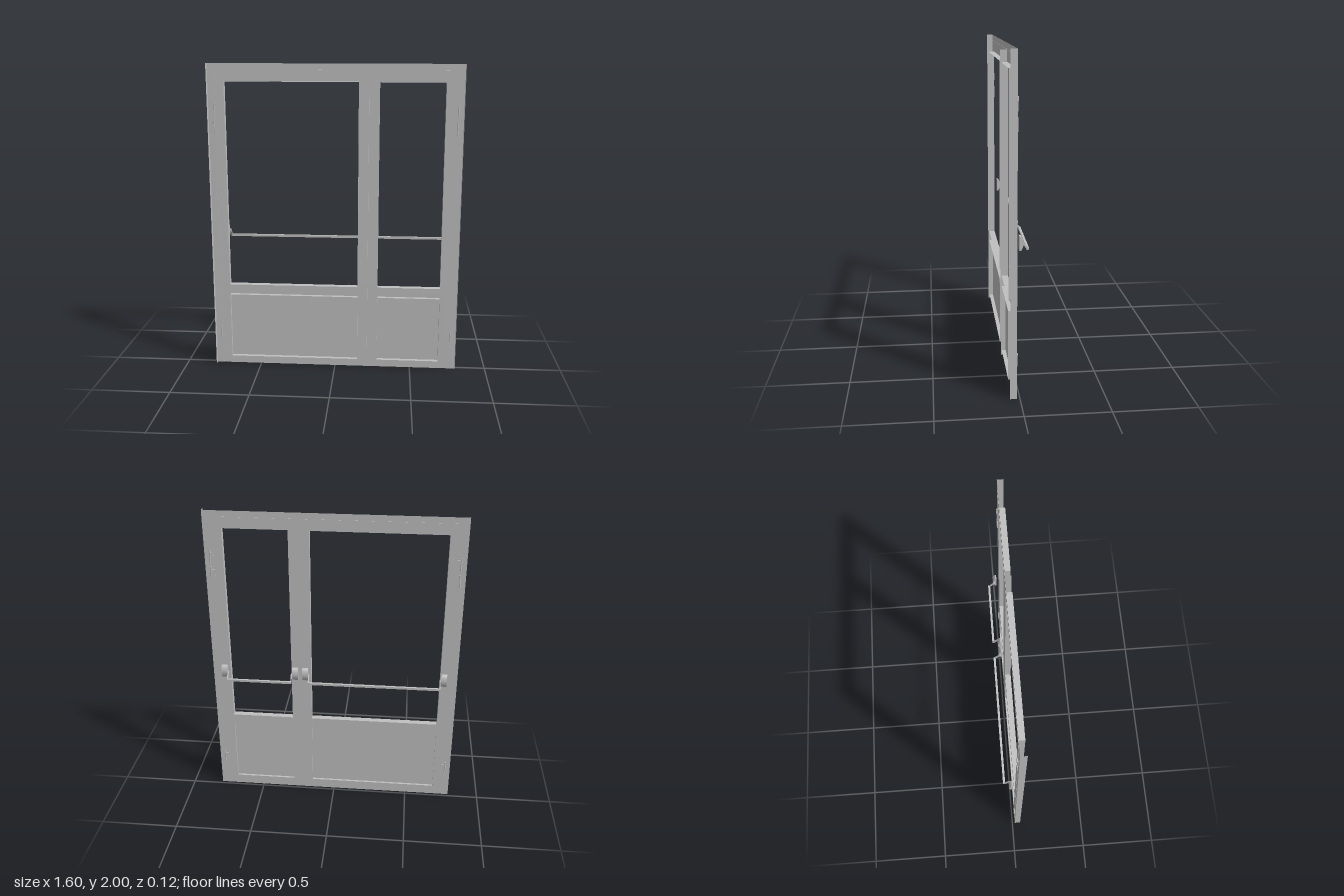
import * as THREE from 'three';

export function createModel() {
  const model = new THREE.Group();
  const metal = new THREE.MeshStandardMaterial({ color: 0xc0c0c0, side: THREE.DoubleSide });
  metal.name = 'grey metal';

  const BACK = 0.018, FRONT = 0.057;
  const columns = [[-0.69, 0.15], [0.28, 0.685]];
  const rows = [[0.065, 0.5], [0.57, 1.89]];

  function add(name, geometry, x = 0, y = 0, z = 0, parent = model) {
    const mesh = new THREE.Mesh(geometry, metal);
    mesh.name = name;
    mesh.position.set(x, y, z);
    parent.add(mesh);
    return mesh;
  }

  // Open four-sided lining that projects forward around an opening
  function lining(name, [x0, x1], [y0, y1]) {
    const g = new THREE.Group();
    g.name = name;
    const depth = FRONT - BACK, z = (FRONT + BACK) / 2;
    for (const x of [x0, x1]) {
      add('liningSide', new THREE.PlaneGeometry(depth, y1 - y0), x, (y0 + y1) / 2, z, g).rotation.y = Math.PI / 2;
    }
    for (const y of [y0, y1]) {
      add('liningRail', new THREE.PlaneGeometry(x1 - x0, depth), (x0 + x1) / 2, y, z, g).rotation.x = -Math.PI / 2;
    }
    model.add(g);
  }

  // Door sheet with two windows and two lower openings
  const sheet = new THREE.Shape([[-0.8, 0], [0.8, 0], [0.8, 2], [-0.8, 2]].map(p => new THREE.Vector2(...p)));
  for (const c of columns) {
    rows.forEach((r, i) => {
      sheet.holes.push(new THREE.Path([
        [c[0], r[0]], [c[0], r[1]], [c[1], r[1]], [c[1], r[0]],
      ].map(p => new THREE.Vector2(...p))));
      lining(i ? 'windowLining' : 'panelLining', c, r);
    });
  }
  add('doorSheet', new THREE.ShapeGeometry(sheet), 0, 0, BACK);

  // Lower panel behind both lower openings
  add('lowerPanel', new THREE.PlaneGeometry(1.42, 0.48), 0, 0.29, 0.032);

  // Side returns and the fin between the leaves
  for (const s of [-1, 1]) {
    add('sideReturn', new THREE.PlaneGeometry(FRONT - BACK, 2), s * 0.8, 1, (FRONT + BACK) / 2).rotation.y = Math.PI / 2;
  }
  add('meetingFin', new THREE.PlaneGeometry(FRONT - BACK, 1.96), 0.214, 0.98, (FRONT + BACK) / 2).rotation.y = Math.PI / 2;

  // Narrow seams around the leaves
  add('sideSeam', new THREE.BoxGeometry(0.006, 1.96, 0.003), -0.757, 0.98, BACK);
  add('topSeam', new THREE.BoxGeometry(1.5, 0.003, 0.003), 0, 1.96, BACK);

  // Hinges on both outer edges
  for (const s of [-1, 1]) {
    for (const y of [0.23, 1.6, 1.71]) {
      add('hingeKnuckle', new THREE.CylinderGeometry(0.005, 0.005, 0.08, 10), s * 0.765, y, 0.015);
      add('hingeLeaf', new THREE.BoxGeometry(0.022, 0.05, 0.005), s * 0.752, y, 0.014);
    }
  }

  // D-shaped push bar housing, profile drawn in (-z, y)
  const dShape = new THREE.Shape();
  dShape.moveTo(0, 0.88);
  dShape.lineTo(0.01, 0.88);
  dShape.quadraticCurveTo(0.024, 0.9, 0.024, 0.925);
  dShape.quadraticCurveTo(0.022, 0.952, 0.008, 0.963);
  dShape.lineTo(0, 0.965);
  // Swinging arm, same profile plane
  const armShape = new THREE.Shape([
    [0.01, 0.925], [0.02, 0.93], [0.056, 0.884], [0.056, 0.873], [0.048, 0.875],
  ].map(p => new THREE.Vector2(...p)));

  function profilePart(name, shape, x, width, parent) {
    const geometry = new THREE.ExtrudeGeometry(shape, { depth: width, bevelEnabled: false, curveSegments: 6 });
    geometry.translate(0, 0, -width / 2);
    geometry.rotateY(Math.PI / 2); // profile x becomes -z
    add(name, geometry, x, 0, 0, parent);
  }

  // One push bar on the back of each leaf
  for (const [x0, x1] of [[-0.692, 0.165], [0.273, 0.698]]) {
    const bar = new THREE.Group();
    bar.name = 'pushBar';
    model.add(bar);
    add('barRod', new THREE.BoxGeometry(x1 - x0, 0.014, 0.014), (x0 + x1) / 2, 0.88, -0.052, bar);
    for (const [x, s] of [[x0, -1], [x1, 1]]) {
      profilePart('barArm', armShape, x - s * 0.003, 0.007, bar);
      profilePart('barHousing', dShape, x + s * 0.021, 0.038, bar);
    }
  }
  return model;
}
